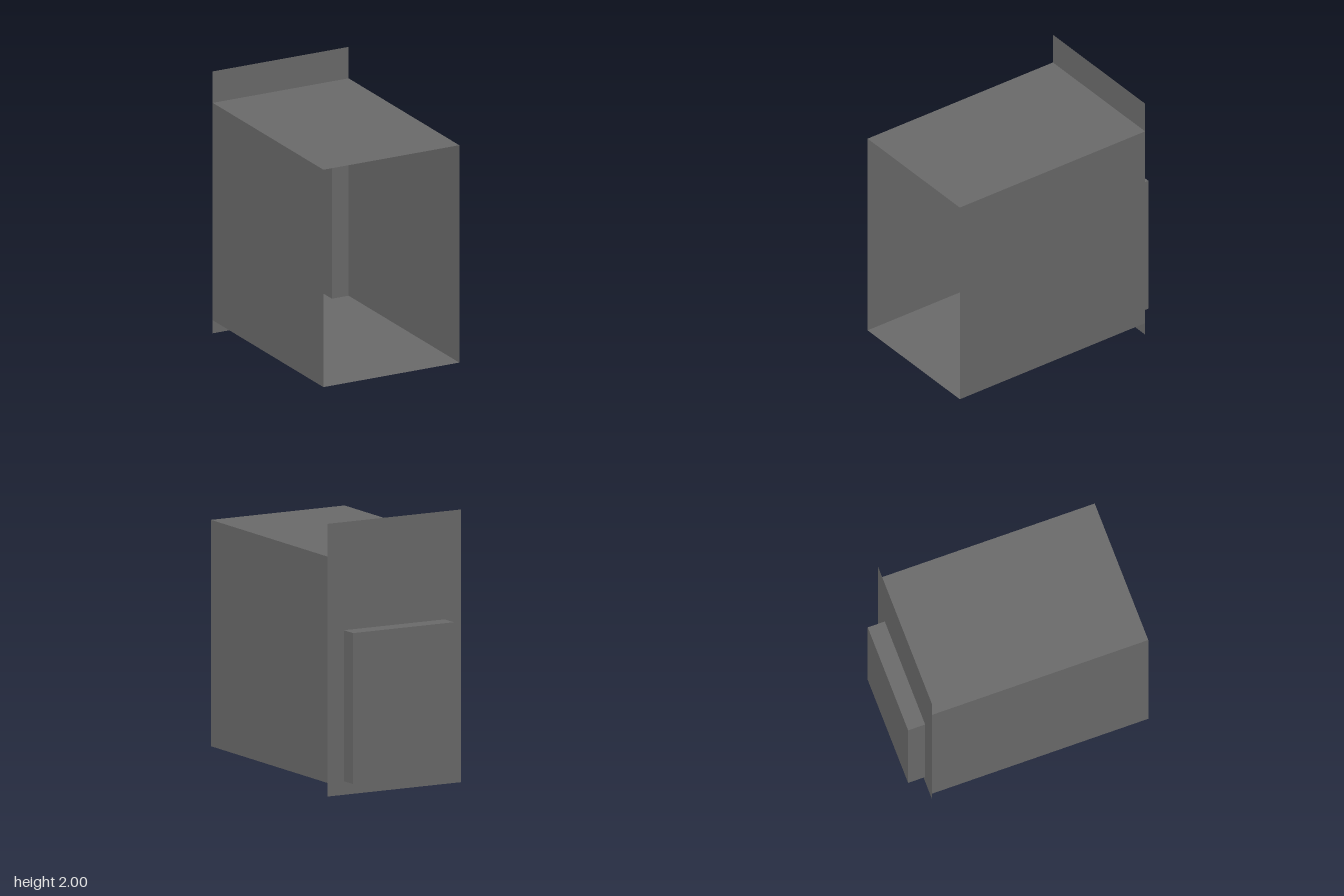
import * as THREE from 'three';

const W = 0.558;          // half width of shell and back panel
const RW = 0.421;         // half width of the rear recess
const FLOOR = 0.1, ROOF = 1.76, RECESS_TOP = 1.207;
const FRONT = 0.897, PANEL = -0.766, REAR = -0.897;

export function createModel() {
  const group = new THREE.Group();
  group.name = 'openCabinet';

  const grey = new THREE.MeshStandardMaterial({ color: 0x696969, side: THREE.DoubleSide });
  grey.name = 'darkGrey';

  const add = (parent, name, geometry, x, y, z, rx = 0, ry = 0) => {
    const mesh = new THREE.Mesh(geometry, grey);
    mesh.name = name;
    mesh.position.set(x, y, z);
    mesh.rotation.set(rx, ry, 0);
    parent.add(mesh);
  };

  // Four thin sheets forming a sleeve, open at both ends
  const addSleeve = (name, halfW, y0, y1, z0, z1) => {
    const sleeve = new THREE.Group();
    sleeve.name = name;
    const h = y1 - y0, d = z1 - z0, y = (y0 + y1) / 2, z = (z0 + z1) / 2;
    add(sleeve, 'roof', new THREE.PlaneGeometry(halfW * 2, d), 0, y1, z, -Math.PI / 2);
    add(sleeve, 'floor', new THREE.PlaneGeometry(halfW * 2, d), 0, y0, z, Math.PI / 2);
    for (const [side, s] of [['leftWall', 1], ['rightWall', -1]]) {
      add(sleeve, side, new THREE.PlaneGeometry(d, h), s * halfW, y, z, 0, s * Math.PI / 2);
    }
    group.add(sleeve);
    return sleeve;
  };

  // Main shell, open at the front
  addSleeve('mainShell', W, FLOOR, ROOF, PANEL, FRONT);

  // Shallow recess bulging out of the back
  const recess = addSleeve('rearRecess', RW, FLOOR, RECESS_TOP, REAR, PANEL);
  add(recess, 'recessBack', new THREE.PlaneGeometry(RW * 2, RECESS_TOP - FLOOR),
    0, (FLOOR + RECESS_TOP) / 2, REAR, 0, Math.PI);

  // Tall back panel with an opening into the recess
  const rect = (path, w, y0, y1) =>
    path.moveTo(-w, y0).lineTo(w, y0).lineTo(w, y1).lineTo(-w, y1).closePath();
  const panel = new THREE.Shape();
  rect(panel, W, 0, 2);
  const opening = new THREE.Path();
  rect(opening, RW, FLOOR, RECESS_TOP);
  panel.holes.push(opening);
  add(group, 'backPanel', new THREE.ShapeGeometry(panel), 0, 0, PANEL, 0, Math.PI);

  return group;
}
